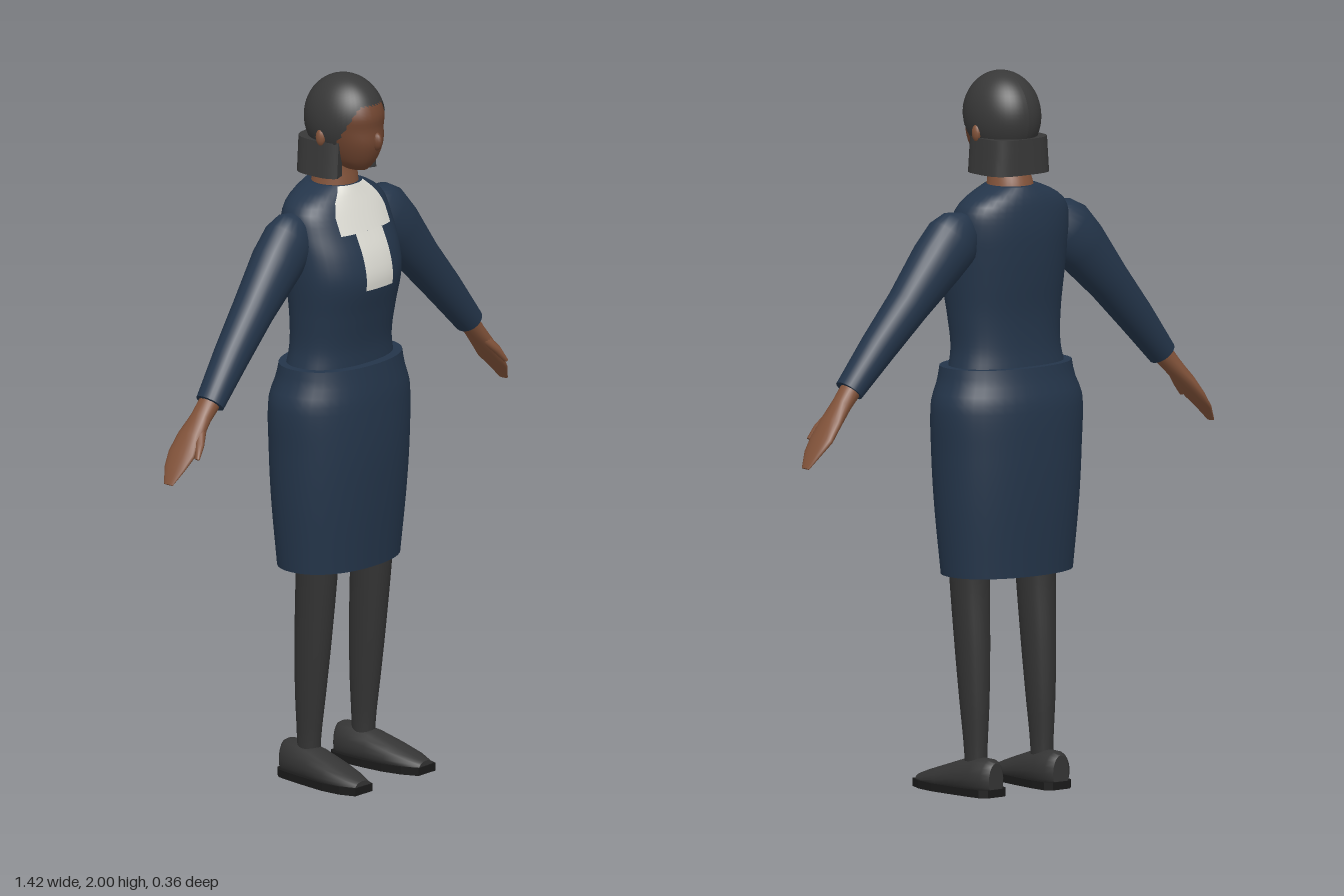
import * as THREE from 'three';
import { toCreasedNormals } from 'three/addons/utils/BufferGeometryUtils.js';

const mat = (name, color, side = THREE.FrontSide) => {
  const m = new THREE.MeshStandardMaterial({ color, side });
  m.name = name;
  return m;
};

// Smooth interpolation of rows [y, halfWidth, zFront, zBack] at height y.
function rowAt(rows, y) {
  let i = 0;
  while (i < rows.length - 2 && y > rows[i + 1][0]) i++;
  const a = rows[i], b = rows[i + 1];
  const p = rows[Math.max(i - 1, 0)], q = rows[Math.min(i + 2, rows.length - 1)];
  const h = b[0] - a[0], t = (y - a[0]) / h;
  return a.map((v, k) => {
    if (k === 0) return y;
    const m0 = (b[k] - p[k]) / (b[0] - p[0]) * h, m1 = (q[k] - v) / (q[0] - a[0]) * h;
    return v * (2 * t ** 3 - 3 * t * t + 1) + m0 * (t ** 3 - 2 * t * t + t)
      + b[k] * (3 * t * t - 2 * t ** 3) + m1 * (t ** 3 - t * t);
  });
}

const spow = (v, e) => Math.sign(v) * Math.abs(v) ** e;

// Joins equal sections (arrays of Vector3) into a skin, with optional flat caps.
function loft(sections, capStart = true, capEnd = true) {
  const n = sections[0].length, pos = [], idx = [];
  sections.forEach(s => s.forEach(p => pos.push(p.x, p.y, p.z)));
  for (let j = 0; j < sections.length - 1; j++) {
    for (let i = 0; i < n; i++) {
      const a = j * n + i, b = j * n + (i + 1) % n;
      idx.push(a, b, a + n, b, b + n, a + n);
    }
  }
  const cap = (s, flip) => {
    const base = pos.length / 3, c = new THREE.Vector3();
    s.forEach(p => { c.add(p); pos.push(p.x, p.y, p.z); });
    c.divideScalar(n);
    pos.push(c.x, c.y, c.z);
    for (let i = 0; i < n; i++) {
      const a = base + i, b = base + (i + 1) % n;
      idx.push(base + n, flip ? b : a, flip ? a : b);
    }
  };
  if (capStart) cap(sections[0], true);
  if (capEnd) cap(sections[sections.length - 1], false);
  const g = new THREE.BufferGeometry();
  g.setAttribute('position', new THREE.Float32BufferAttribute(pos, 3));
  g.setIndex(idx);
  g.computeVertexNormals();
  return g;
}

// Upright body of rounded horizontal sections.
function upright(rows, { cx = 0, p = 2, steps = 24, n = 32, capStart = true, capEnd = true } = {}) {
  const y0 = rows[0][0], y1 = rows[rows.length - 1][0], sections = [];
  for (let j = 0; j <= steps; j++) {
    const [y, hx, zf, zb] = rowAt(rows, y0 + (y1 - y0) * j / steps);
    sections.push(Array.from({ length: n }, (_, i) => {
      const t = i / n * Math.PI * 2;
      return new THREE.Vector3(cx + hx * spow(Math.sin(t), 2 / p), y,
        (zf + zb) / 2 + (zf - zb) / 2 * spow(Math.cos(t), 2 / p));
    }));
  }
  return loft(sections, capStart, capEnd);
}

// Limb through points [x, y, z, radius across, radius along v]; v is the fixed section axis.
function limb(points, v, n = 20, minY = -1) {
  const c = points.map(p => new THREE.Vector3(p[0], p[1], p[2]));
  return loft(points.map((p, k) => {
    const d = c[Math.min(k + 1, c.length - 1)].clone().sub(c[Math.max(k - 1, 0)]).normalize();
    const u = d.cross(v).normalize();
    return Array.from({ length: n }, (_, i) => {
      const t = i / n * Math.PI * 2;
      const q = c[k].clone().addScaledVector(u, p[3] * Math.sin(t)).addScaledVector(v, p[4] * Math.cos(t));
      q.y = Math.max(q.y, minY);
      return q;
    });
  }));
}

// Thin panel lying on the front of an upright body; edges are [y, halfWidth] from low to high.
function frontPanel(rows, p, edges, lift) {
  const pos = [], idx = [], nx = 12, ny = 10;
  const y0 = edges[0][0], y1 = edges[edges.length - 1][0];
  for (let j = 0; j <= ny; j++) {
    const y = y0 + (y1 - y0) * j / ny, [, hx, zf, zb] = rowAt(rows, y);
    let k = 0;
    while (k < edges.length - 2 && y > edges[k + 1][0]) k++;
    const w = THREE.MathUtils.mapLinear(y, edges[k][0], edges[k + 1][0], edges[k][1], edges[k + 1][1]);
    for (let i = 0; i <= nx; i++) {
      const x = w * (i / nx * 2 - 1);
      const f = Math.max(0, 1 - Math.abs(x / hx) ** p) ** (1 / p);
      pos.push(x, y, (zf + zb) / 2 + (zf - zb) / 2 * f + lift);
      if (i < nx && j < ny) {
        const a = j * (nx + 1) + i, b = a + nx + 1;
        idx.push(a, a + 1, b, a + 1, b + 1, b);
      }
    }
  }
  const g = new THREE.BufferGeometry();
  g.setAttribute('position', new THREE.Float32BufferAttribute(pos, 3));
  g.setIndex(idx);
  g.computeVertexNormals();
  return g;
}

export function createModel() {
  const navy = mat('navy cloth', 0x24354a, THREE.DoubleSide), white = mat('white cloth', 0xdcdbd3, THREE.DoubleSide);
  const skin = mat('skin', 0x82533a), faceSkin = mat('face skin', 0x6f442f);
  const hair = mat('hair', 0x383838, THREE.DoubleSide), tights = mat('tights', 0x333333);
  const leather = mat('shoe leather', 0x343434), rubber = mat('sole', 0x1a1a1a);
  const model = new THREE.Group(), body = new THREE.Group();
  body.name = 'body';
  body.position.x = -0.012;
  model.add(body);
  const add = (name, geo, m, parent = body) => {
    const mesh = new THREE.Mesh(geo, m);
    mesh.name = name;
    parent.add(mesh);
    return mesh;
  };

  // Jacket and skirt
  const torso = [[1.17, 0.18, 0.085, -0.135], [1.24, 0.166, 0.085, -0.127], [1.33, 0.17, 0.1, -0.128],
    [1.43, 0.18, 0.12, -0.14], [1.5, 0.183, 0.108, -0.147], [1.57, 0.182, 0.078, -0.15],
    [1.63, 0.17, 0.052, -0.145], [1.665, 0.13, 0.036, -0.137], [1.69, 0.072, 0.025, -0.125]];
  add('jacket', upright(torso, { p: 2.3, steps: 32, n: 40 }), navy);
  add('skirt', upright([[0.61, 0.2, 0.105, -0.16], [0.8, 0.218, 0.122, -0.175], [0.95, 0.226, 0.13, -0.181],
    [1.09, 0.229, 0.126, -0.178], [1.15, 0.207, 0.118, -0.163], [1.19, 0.2, 0.112, -0.155]],
  { p: 2.2, n: 40, capStart: false }), navy);

  // Neck scarf
  add('scarfCollar', frontPanel(torso, 2.3, [[1.567, 0.103], [1.62, 0.103], [1.655, 0.086], [1.69, 0.052]], 0.006), white);
  add('scarfTail', frontPanel(torso, 2.3, [[1.41, 0.055], [1.567, 0.055]], 0.006), white);

  // Neck, face and nose
  add('neck', upright([[1.66, 0.07, 0.026, -0.115], [1.7, 0.062, 0.024, -0.105], [1.74, 0.055, 0.022, -0.09],
    [1.8, 0.055, 0.03, -0.09]], { steps: 10 }), skin);
  add('face', upright([[1.738, 0.024, 0.072, 0.0], [1.755, 0.046, 0.088, -0.04], [1.785, 0.063, 0.105, -0.07],
    [1.82, 0.075, 0.115, -0.09], [1.86, 0.083, 0.112, -0.1], [1.9, 0.086, 0.113, -0.105],
    [1.95, 0.068, 0.086, -0.085], [1.982, 0.03, 0.035, -0.05]], { p: 2.1 }), faceSkin);
  const nose = add('nose', new THREE.SphereGeometry(1, 12, 8), faceSkin);
  nose.scale.set(0.014, 0.026, 0.018);
  nose.position.set(0, 1.826, 0.11);

  // Hair cap: an ellipsoid whose lower edge rises over the forehead
  const cap = new THREE.SphereGeometry(1, 48, 20);
  const cp = cap.attributes.position, cols = 49;
  for (let k = 0; k < cp.count; k++) {
    const t = (k % cols) / 48 * Math.PI * 2 - Math.PI, v = Math.floor(k / cols) / 20;
    const hem = 1.926 - 0.128 * THREE.MathUtils.smoothstep(Math.abs(t), 0.45, 1.45);
    const th = v * Math.acos((hem - 1.875) / 0.125);
    cp.setXYZ(k, 0.1 * Math.sin(th) * Math.sin(t), 1.875 + 0.125 * Math.cos(th), -0.005 + 0.122 * Math.sin(th) * Math.cos(t));
  }
  cap.computeVertexNormals();
  add('hairCap', cap, hair);

  // Bobbed hair: an open ring around the neck, narrower at the top
  const arc = (rx, rz) => Array.from({ length: 33 }, (_, i) => {
    const t = 0.75 + (Math.PI * 2 - 1.5) * i / 32;
    return new THREE.Vector2(rx * spow(Math.sin(t), 0.6), 0.035 - rz * spow(Math.cos(t), 0.6));
  });
  let bob = new THREE.ExtrudeGeometry(new THREE.Shape([...arc(0.104, 0.088), ...arc(0.062, 0.074).reverse()]),
    { depth: 0.1, bevelEnabled: false, steps: 4 });
  bob.rotateX(-Math.PI / 2).translate(0, 1.722, 0);
  const bp = bob.attributes.position;
  for (let k = 0; k < bp.count; k++) bp.setX(k, bp.getX(k) * (1 - 0.8 * (bp.getY(k) - 1.722)));
  bob = toCreasedNormals(bob, 0.7);
  add('hairBob', bob, hair);

  for (const s of [1, -1]) {
    const side = s > 0 ? 'left' : 'right', zAxis = new THREE.Vector3(0, 0, 1);
    const flip = pts => pts.map(([x, ...r]) => [x * s, ...r]);

    const ear = add(side + 'Ear', new THREE.SphereGeometry(1, 12, 8), skin);
    ear.scale.set(0.012, 0.024, 0.015);
    ear.position.set(s * 0.094, 1.835, -0.012);

    // Sleeve, hand and thumb
    add(side + 'Sleeve', limb(flip([[0.145, 1.605, -0.05, 0.03, 0.03], [0.165, 1.585, -0.05, 0.066, 0.052],
      [0.195, 1.55, -0.05, 0.085, 0.066], [0.25, 1.495, -0.05, 0.08, 0.068], [0.35, 1.385, -0.048, 0.062, 0.058],
      [0.45, 1.275, -0.042, 0.052, 0.05], [0.545, 1.165, -0.036, 0.04, 0.042]]), zAxis, 24), navy, model);
    add(side + 'Hand', limb(flip([[0.53, 1.18, -0.038, 0.03, 0.032], [0.575, 1.13, -0.042, 0.025, 0.032],
      [0.615, 1.085, -0.046, 0.021, 0.042], [0.65, 1.04, -0.048, 0.017, 0.046],
      [0.68, 1.005, -0.048, 0.011, 0.036], [0.706, 0.965, -0.048, 0.004, 0.016]]), zAxis, 16), skin, model);
    add(side + 'Thumb', limb(flip([[0.59, 1.11, -0.025, 0.014, 0.014], [0.625, 1.07, -0.004, 0.012, 0.014],
      [0.65, 1.035, 0.008, 0.006, 0.008]]), zAxis, 10), skin, model);

    // Leg
    add(side + 'Leg', upright([[0.04, 0.03, -0.004, -0.07], [0.12, 0.03, 0.0, -0.072], [0.25, 0.038, 0.016, -0.077],
      [0.4, 0.045, 0.034, -0.077], [0.62, 0.053, 0.056, -0.072], [0.9, 0.065, 0.075, -0.09]],
    { cx: s * 0.115, n: 20 }), tights);

    // Shoe: sections [z, centre x, half width, height] from heel to toe
    const shoe = [[-0.124, 0.113, 0.026, 0.095], [-0.105, 0.114, 0.043, 0.105], [-0.06, 0.116, 0.05, 0.105],
      [0, 0.12, 0.055, 0.095], [0.07, 0.126, 0.058, 0.072], [0.13, 0.131, 0.05, 0.052], [0.175, 0.133, 0.032, 0.036]];
    add(side + 'Shoe', limb(shoe.map(([z, x, w, h]) => [s * x, h * 0.45, z, w, h * 0.55]),
      new THREE.Vector3(0, 1, 0), 20, 0.02), leather);
    const edge = k => shoe.map(([z, x, w]) => new THREE.Vector2(s * (x + k * (w + 0.004)), -z * 1.02));
    const sole = new THREE.ExtrudeGeometry(new THREE.Shape([...edge(1), ...edge(-1).reverse()]),
      { depth: 0.022, bevelEnabled: false });
    add(side + 'Sole', sole.rotateX(-Math.PI / 2), rubber);
  }
  return model;
}
